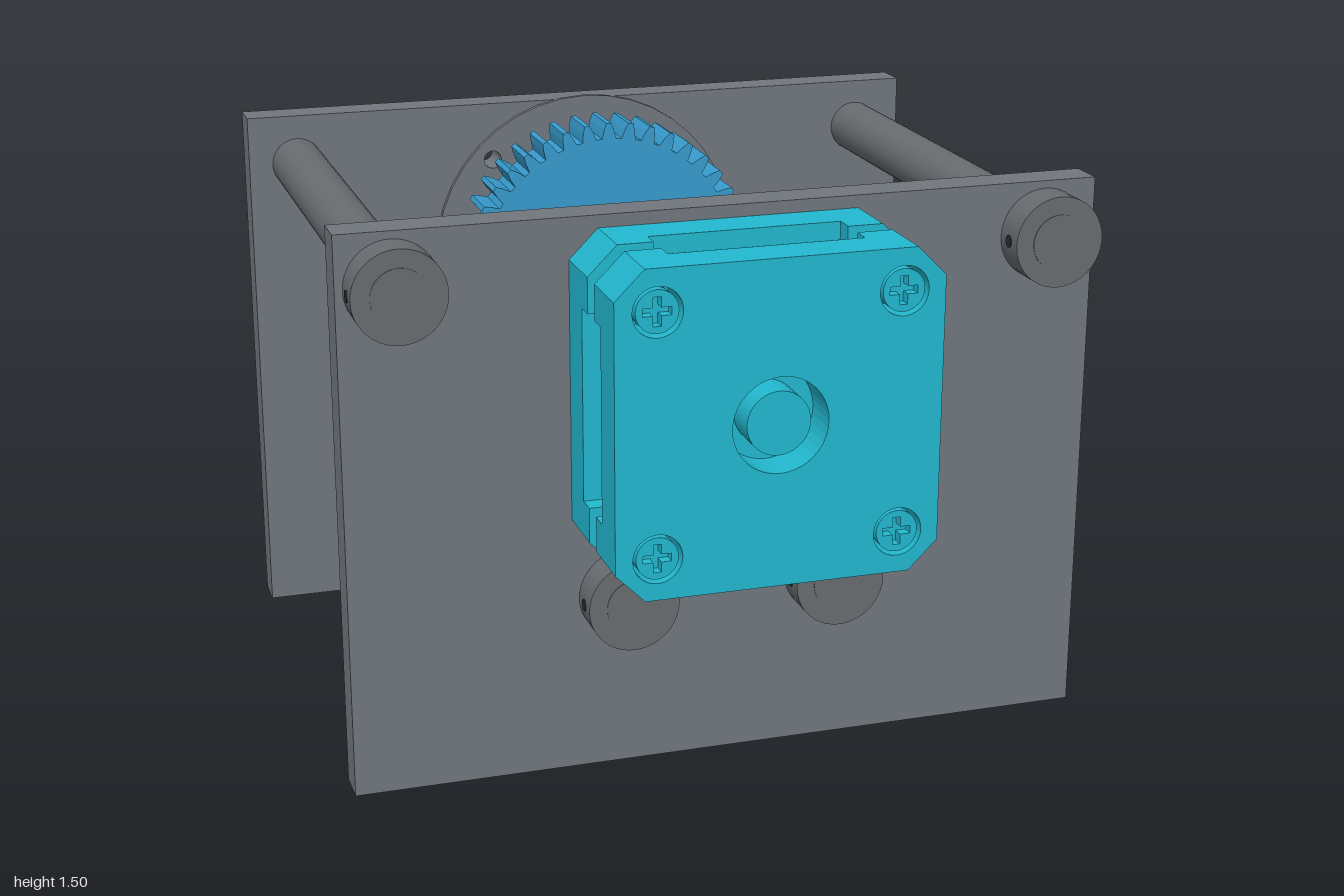
import * as THREE from 'three';

const mat = (name, color) => Object.assign(new THREE.MeshStandardMaterial({ color }), { name });

export function createModel() {
  const M = {
    plate: mat('plate grey', 0x70777d),
    steel: mat('steel grey', 0x686c70),
    cyan: mat('motor cyan', 0x22b8cf),
    blue: mat('output blue', 0x379bcd),
    red: mat('gear red', 0xd56c56),
    yellow: mat('gear yellow', 0xd2a549),
    teal: mat('gear teal', 0x42a998),
    dark: mat('hole dark', 0x2c3034),
  };
  const model = new THREE.Group();
  model.name = 'gearbox';
  const AXIS_Y = 1.035, SHAFT_X = 0.28, SHAFT_Y = 0.475, MODULE = 0.02;

  const add = (name, geo, material, x = 0, y = 0, z = 0) => {
    const mesh = new THREE.Mesh(geo, material);
    mesh.name = name;
    mesh.position.set(x, y, z);
    model.add(mesh);
    return mesh;
  };
  // cylinder along z, from z0 to z1
  const rod = (name, r, z0, z1, x, y, material) =>
    add(name, new THREE.CylinderGeometry(r, r, z1 - z0, 40).rotateX(Math.PI / 2), material, x, y, (z0 + z1) / 2);
  // outline extruded along z, from z0 to z1
  const slab = (name, shape, z0, z1, x, y, material) =>
    add(name, new THREE.ExtrudeGeometry(shape, { depth: z1 - z0, bevelEnabled: false, curveSegments: 20 }), material, x, y, z0);
  const polygon = (pts) => new THREE.Shape(pts.map(([x, y]) => new THREE.Vector2(x, y)));
  const circle = (r, x = 0, y = 0) => new THREE.Shape().absarc(x, y, r, 0, Math.PI * 2, false);
  const corners = (d) => [[-d, -d], [d, -d], [d, d], [-d, d]];
  // repeat one quarter of an outline four times around the centre
  const quarterTurns = (pts) => polygon([0, 1, 2, 3].flatMap((k) => pts.map(([x, y]) => {
    const c = [1, 0, -1, 0][k], s = [0, 1, 0, -1][k];
    return [x * c - y * s, x * s + y * c];
  })));

  // End plates with screw holes
  const plateShape = (d, hole, bore) => {
    const s = polygon([[-1, 0], [1, 0], [1, 1.485], [-1, 1.485]]);
    corners(d).forEach(([x, y]) => s.holes.push(circle(hole, x, AXIS_Y + y)));
    s.holes.push(circle(bore, 0, AXIS_Y));
    return s;
  };
  slab('frontPlate', plateShape(0.31, 0.026, 0.06), 0.495, 0.595, 0, 0, M.plate);
  slab('backPlate', plateShape(0.285, 0.026, 0.2), -0.862, -0.762, 0, 0, M.plate);

  // Tie rods and gear shafts, with a collar and set screw hole at each end
  const collar = (name, x, y, z0, z1) => {
    rod(name, 0.12, z0, z1, x, y, M.steel);
    for (const side of [-1, 1]) {
      add('setScrewHole', new THREE.CylinderGeometry(0.016, 0.016, 0.004, 16).rotateZ(Math.PI / 2),
        M.dark, x + side * 0.12, y, (z0 + z1) / 2);
    }
  };
  for (const [name, px, y] of [['tieRod', 0.86, 1.345], ['gearShaft', SHAFT_X, SHAFT_Y]]) {
    for (const side of [-1, 1]) {
      const x = px * side;
      rod(name, 0.073, -0.964, 0.694, x, y, M.steel);
      collar(name + 'FrontCollar', x, y, 0.595, 0.692);
      collar(name + 'BackCollar', x, y, -0.962, -0.862);
    }
  }
  // Spacers between the gears
  for (const [side, z0, z1] of [
    [1, 0.355, 0.495], [1, -0.035, 0], [1, -0.385, -0.34], [1, -0.762, -0.715],
    [-1, 0.115, 0.495], [-1, -0.22, -0.19], [-1, -0.762, -0.51],
  ]) rod('spacer', 0.1, z0, z1, side * SHAFT_X, SHAFT_Y, M.steel);

  // Spur gear with a tooth centred on the angle given by phase
  const gear = (name, teeth, z0, z1, x, y, phase, material) => {
    const tip = MODULE * (teeth + 2) / 2, pitch = MODULE * teeth / 2, root = tip - MODULE * 2.25;
    const step = Math.PI * 2 / teeth;
    const pts = [];
    for (let i = 0; i < teeth; i++) {
      for (const [f, r] of [[-0.35, root], [-0.235, pitch], [-0.11, tip], [0.11, tip], [0.235, pitch], [0.35, root]]) {
        const a = phase + (i + f) * step;
        pts.push([r * Math.cos(a), r * Math.sin(a)]);
      }
    }
    slab(name, polygon(pts), z0, z1, x, y, material);
  };
  // Two gears in mesh: a tooth of the first meets a gap of the second
  const pair = (a, b) => {
    const angle = Math.atan2(b.y - a.y, b.x - a.x);
    gear(a.name, a.n, a.z[0], a.z[1], a.x, a.y, angle, a.m);
    gear(b.name, b.n, b.z[0], b.z[1], b.x, b.y, angle + Math.PI + Math.PI / b.n, b.m);
  };
  const on = (x, y) => (name, n, z0, z1, m) => ({ name, n, z: [z0, z1], x, y, m });
  const main = on(0, AXIS_Y), left = on(SHAFT_X, SHAFT_Y), right = on(-SHAFT_X, SHAFT_Y);
  pair(main('motorPinion', 21, 0.16, 0.475, M.teal), left('firstWheel', 41, 0.24, 0.355, M.yellow));
  pair(left('firstPinion', 16, 0, 0.24, M.yellow), right('secondWheel', 40, 0, 0.115, M.red));
  pair(right('secondPinion', 19, -0.19, 0, M.red), left('thirdWheel', 37, -0.193, -0.035, M.teal));
  pair(left('thirdPinion', 16, -0.34, -0.193, M.teal), right('fourthWheel', 40, -0.34, -0.22, M.yellow));
  pair(right('fourthPinion', 19, -0.51, -0.34, M.yellow), left('fifthWheel', 38, -0.508, -0.388, M.red));
  pair(left('fifthPinion', 21, -0.715, -0.508, M.red), main('outputWheel', 41, -0.64, -0.488, M.blue));

  // Output shaft and its bearing flanges
  rod('outputShaft', 0.2, -0.99, -0.63, 0, AXIS_Y, M.blue);
  const innerFlange = circle(0.46);
  innerFlange.holes.push(circle(0.2), ...corners(0.285).map(([x, y]) => circle(0.026, x, y)));
  slab('innerFlange', innerFlange, -0.762, -0.747, 0, AXIS_Y, M.plate);
  const outerFlange = circle(0.325);
  outerFlange.holes.push(circle(0.2));
  slab('outerFlange', outerFlange, -0.908, -0.862, 0, AXIS_Y, M.plate);

  // Motor: two chamfered end caps with notched sides around a smaller core
  const H = 0.417, C = 0.342, CORE = 0.37, NOTCH = 0.25;
  const octagon = () => quarterTurns([[H, -C], [H, C]]);
  const notched = () => quarterTurns([[H, -C], [H, -NOTCH], [CORE - 0.02, -NOTCH], [CORE - 0.02, NOTCH], [H, NOTCH], [H, C]]);
  slab('motorRearCap', octagon(), 0.595, 0.71, 0, AXIS_Y, M.cyan);
  slab('motorRearCorners', notched(), 0.71, 0.762, 0, AXIS_Y, M.cyan);
  slab('motorCore', quarterTurns([[CORE, -0.31], [CORE, 0.31]]), 0.705, 0.878, 0, AXIS_Y, M.cyan);
  slab('motorFrontCorners', notched(), 0.823, 0.875, 0, AXIS_Y, M.cyan);
  const frontCap = octagon();
  frontCap.holes.push(circle(0.123), ...corners(0.31).map(([x, y]) => circle(0.063, x, y)));
  slab('motorFrontCap', frontCap, 0.875, 0.99, 0, AXIS_Y, M.cyan);
  rod('motorShaftFrontEnd', 0.082, 0.87, 0.975, 0, AXIS_Y, M.cyan);
  rod('motorShaft', 0.042, 0.155, 0.6, 0, AXIS_Y, M.cyan);

  // Cap screws with a cross recess
  const screwHead = circle(0.054);
  const w = 0.01, l = 0.036;
  screwHead.holes.push(quarterTurns([[w, -w], [l, -w], [l, w]]));
  for (const [x, y] of corners(0.31)) {
    slab('capScrew', screwHead, 0.955, 0.985, x, AXIS_Y + y, M.cyan);
    rod('capScrewBody', 0.053, 0.87, 0.956, x, AXIS_Y + y, M.cyan);
  }
  return model;
}
